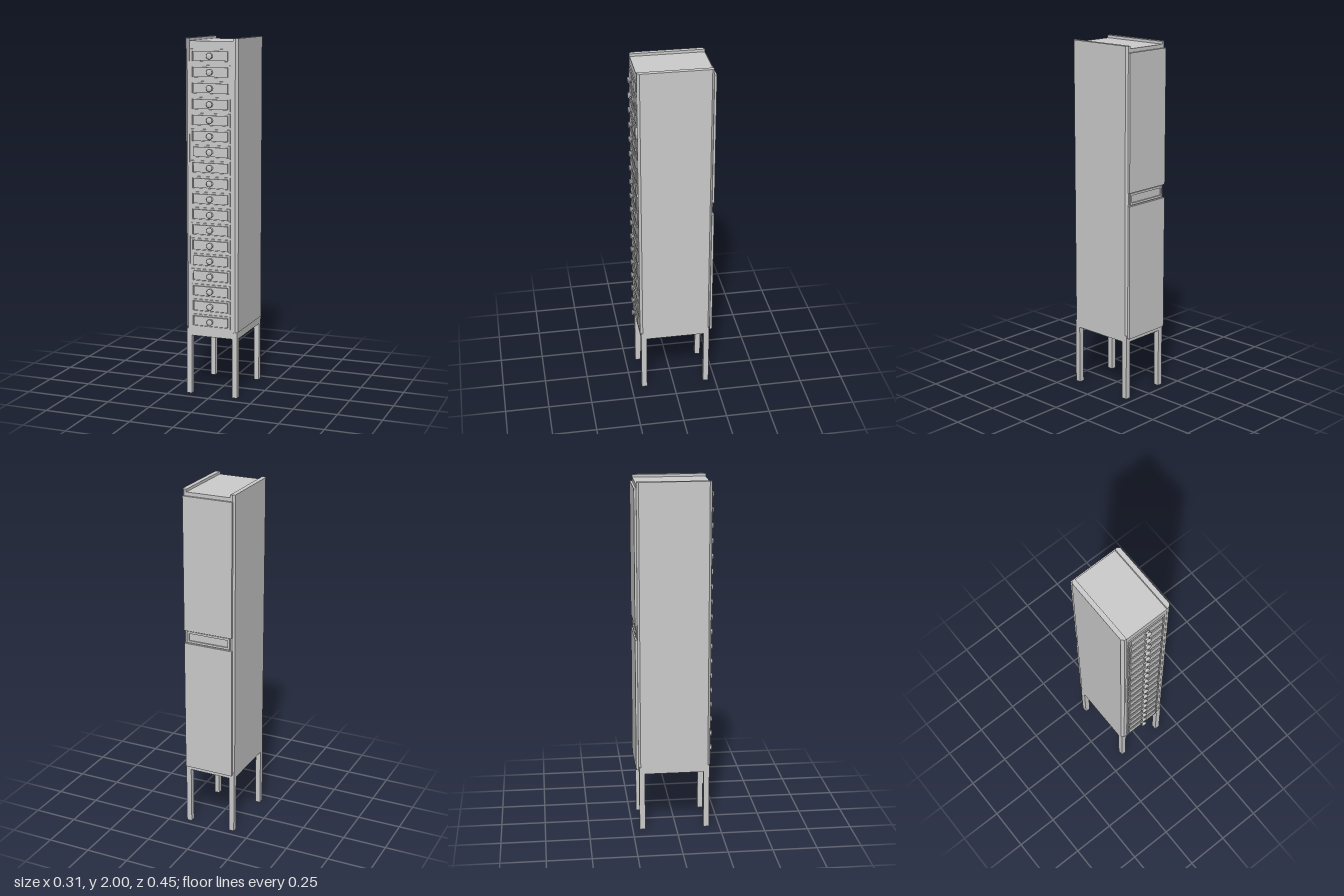
import * as THREE from 'three';

const mat = new THREE.MeshStandardMaterial({ color: 0xcccccc });

function add(parent, name, geo, x = 0, y = 0, z = 0) {
  const m = new THREE.Mesh(geo, mat);
  m.name = name;
  m.position.set(x, y, z);
  parent.add(m);
  return m;
}

// Box given by its limits on each axis
function block(parent, name, [x0, x1], [y0, y1], [z0, z1]) {
  return add(parent, name, new THREE.BoxGeometry(x1 - x0, y1 - y0, z1 - z0),
    (x0 + x1) / 2, (y0 + y1) / 2, (z0 + z1) / 2);
}

// Rectangular ring in the XY plane, extruded along +z
function ring(w, h, border, depth) {
  const rect = (T, a, b) => {
    const p = new T();
    p.moveTo(-a, -b).lineTo(a, -b).lineTo(a, b).lineTo(-a, b).closePath();
    return p;
  };
  const s = rect(THREE.Shape, w / 2, h / 2);
  s.holes.push(rect(THREE.Path, w / 2 - border, h / 2 - border));
  return new THREE.ExtrudeGeometry(s, { depth, bevelEnabled: false });
}

export function createModel() {
  const model = new THREE.Group();
  model.name = 'drawerTower';

  // Carcass: core with recessed top between the two side panels
  block(model, 'carcass', [-0.128, 0.128], [0.375, 1.985], [-0.214, 0.193]);

  // Side panels with chamfered outer vertical edges
  for (const s of [-1, 1]) {
    const plan = new THREE.Shape([
      [0.127, -0.195], [0.139, -0.195], [0.153, -0.181],
      [0.153, 0.202], [0.141, 0.214], [0.127, 0.214],
    ].map(([x, z]) => new THREE.Vector2(s * x, z)));
    const side = add(model, s > 0 ? 'leftSidePanel' : 'rightSidePanel',
      new THREE.ExtrudeGeometry(plan, { depth: 1.62, bevelEnabled: false }), 0, 0.38, 0);
    side.rotation.x = -Math.PI / 2;
  }

  // Drawers: rim, raised panel and turned knob
  const rimGeo = ring(0.23, 0.074, 0.008, 0.008);
  const panelGeo = new THREE.BoxGeometry(0.2, 0.052, 0.012);
  const profile = [[0, 0], [0.016, 0], [0.016, 0.003], [0.011, 0.005], [0.01, 0.009],
    [0.014, 0.012], [0.017, 0.015], [0.017, 0.019], [0.013, 0.022], [0, 0.023]]
    .map(([r, h]) => new THREE.Vector2(r, h));
  const knobGeo = new THREE.LatheGeometry(profile, 20).rotateX(Math.PI / 2);
  for (let i = 0; i < 18; i++) {
    const drawer = new THREE.Group();
    drawer.name = 'drawer' + (i + 1);
    drawer.position.set(-0.003, 1.905 - i * 0.0867, 0);
    add(drawer, 'drawerRim', rimGeo, 0, 0, 0.191);
    add(drawer, 'drawerPanel', panelGeo, 0, 0, 0.197);
    add(drawer, 'knob', knobGeo, 0, 0, 0.202);
    model.add(drawer);
  }

  // Back: two doors with a recessed grip between them
  block(model, 'lowerBackDoor', [-0.144, 0.144], [0.365, 1.13], [-0.227, -0.2145]);
  block(model, 'upperBackDoor', [-0.144, 0.144], [1.205, 1.965], [-0.227, -0.2145]);
  add(model, 'backGripFrame', ring(0.26, 0.066, 0.012, 0.008), 0, 1.1675, -0.221);

  // Stand: apron, closed underside and four square legs
  block(model, 'apron', [-0.152, 0.15], [0.34, 0.38], [-0.21, 0.19]);
  for (const x of [-0.137, 0.135]) {
    for (const z of [-0.194, 0.174]) {
      block(model, 'leg', [x - 0.015, x + 0.015], [0, 0.345], [z - 0.016, z + 0.016]);
    }
  }

  return model;
}
